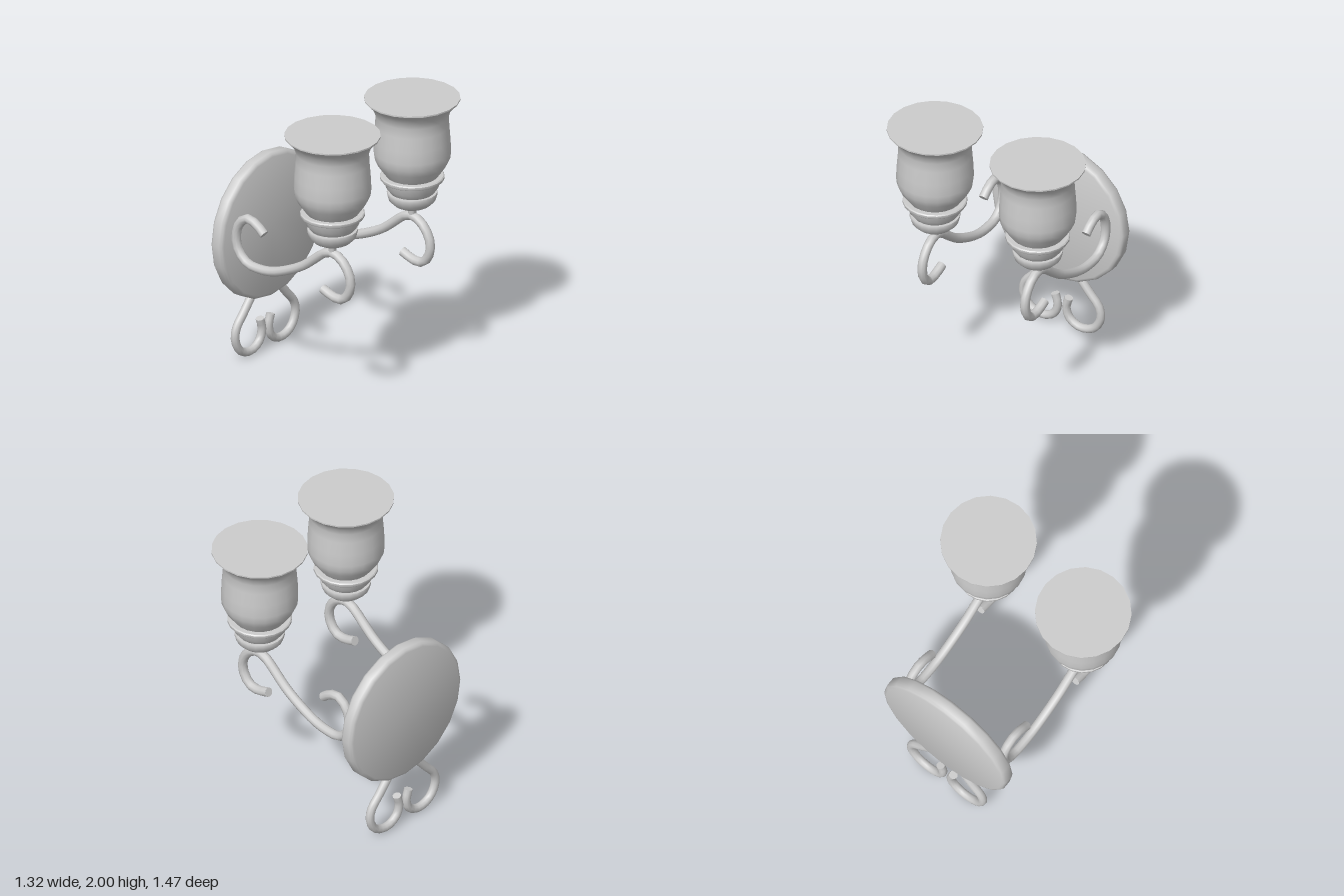
import * as THREE from 'three';
import { toCreasedNormals } from 'three/addons/utils/BufferGeometryUtils.js';

const material = new THREE.MeshStandardMaterial({ color: 0xcccccc });
const SIDES = 20;

function mesh(name, geometry) {
  const m = new THREE.Mesh(geometry, material);
  m.name = name;
  return m;
}

// Turned part: [radius, height] pairs, from the bottom up
function turned(name, profile) {
  const points = profile.map(([r, y]) => new THREE.Vector2(r, y));
  return mesh(name, toCreasedNormals(new THREE.LatheGeometry(points, SIDES), 0.7));
}

// Bent rod with flat closed ends
function rod(name, points, radius, segments) {
  const group = new THREE.Group();
  group.name = name;
  const curve = new THREE.CatmullRomCurve3(points);
  group.add(mesh(name + 'Tube', new THREE.TubeGeometry(curve, segments, radius, 10)));
  for (const t of [0, 1]) {
    const cap = mesh(name + 'End', new THREE.CircleGeometry(radius, 10));
    const out = curve.getTangentAt(t).multiplyScalar(t ? 1 : -1);
    cap.position.copy(curve.getPointAt(t));
    cap.quaternion.setFromUnitVectors(new THREE.Vector3(0, 0, 1), out);
    group.add(cap);
  }
  return group;
}

// Scrolled arm in the x-y plane
const armPath = [
  [-0.28, 1.08], [-0.35, 1.135], [-0.43, 1.155], [-0.5, 1.1], [-0.53, 1.0],
  [-0.51, 0.9], [-0.43, 0.825], [-0.31, 0.813], [-0.2, 0.83], [-0.07, 0.88],
  [0.07, 0.955], [0.19, 1.05], [0.26, 1.105], [0.34, 1.125], [0.43, 1.08],
  [0.49, 0.98], [0.487, 0.89], [0.43, 0.81], [0.35, 0.8], [0.245, 0.835],
];

// Lower scroll in the z-y plane
const scrollPath = [
  [0.13, 0.45], [0.22, 0.34], [0.295, 0.25], [0.31, 0.17], [0.27, 0.08],
  [0.2, 0.038], [0.12, 0.038], [0.055, 0.085], [0.034, 0.16], [0.055, 0.24],
];

function lamp() {
  const group = new THREE.Group();
  group.name = 'lamp';
  group.add(rod('arm', armPath.map(([x, y]) => new THREE.Vector3(x, y, 0)), 0.033, 36));

  // Stem, cup, collar and shade stacked on one axis
  const holder = new THREE.Group();
  holder.name = 'lampHolder';
  holder.position.x = 0.332;
  holder.add(
    turned('stem', [[0, 1.13], [0.028, 1.13], [0.028, 1.165], [0.038, 1.2], [0, 1.2]]),
    turned('cup', [[0, 1.185], [0.075, 1.19], [0.125, 1.215], [0.16, 1.25],
      [0.173, 1.295], [0.17, 1.305], [0, 1.305]]),
    turned('collar', [[0, 1.3], [0.15, 1.305], [0.18, 1.345], [0.195, 1.4], [0.215, 1.4],
      [0.22, 1.407], [0.22, 1.423], [0.213, 1.43], [0, 1.43]]),
    turned('shade', [[0, 1.425], [0.175, 1.425], [0.235, 1.51], [0.258, 1.56], [0.264, 1.61],
      [0.26, 1.7], [0.252, 1.8], [0.248, 1.87], [0.265, 1.92], [0.295, 1.96],
      [0.327, 1.99], [0.327, 2.0], [0, 2.0]]),
  );
  group.add(holder);
  return group;
}

export function createModel() {
  const model = new THREE.Group();
  model.name = 'wallLamp';

  // Round wall plate with softened rim
  const plate = turned('wallPlate', [[0, -0.052], [0.5, -0.052], [0.518, -0.045], [0.528, -0.028],
    [0.528, 0.028], [0.518, 0.045], [0.5, 0.052], [0, 0.052]]);
  plate.rotation.z = -Math.PI / 2;
  plate.position.set(-0.612, 0.933, 0);
  model.add(plate);

  // Paired lamps and lower scrolls
  for (const side of [-1, 1]) {
    const l = lamp();
    l.position.z = side * 0.41;
    model.add(l);
    const points = scrollPath.map(([z, y]) => new THREE.Vector3(-0.627, y, side * z));
    model.add(rod('lowerScroll', points, 0.03, 20));
  }
  return model;
}
